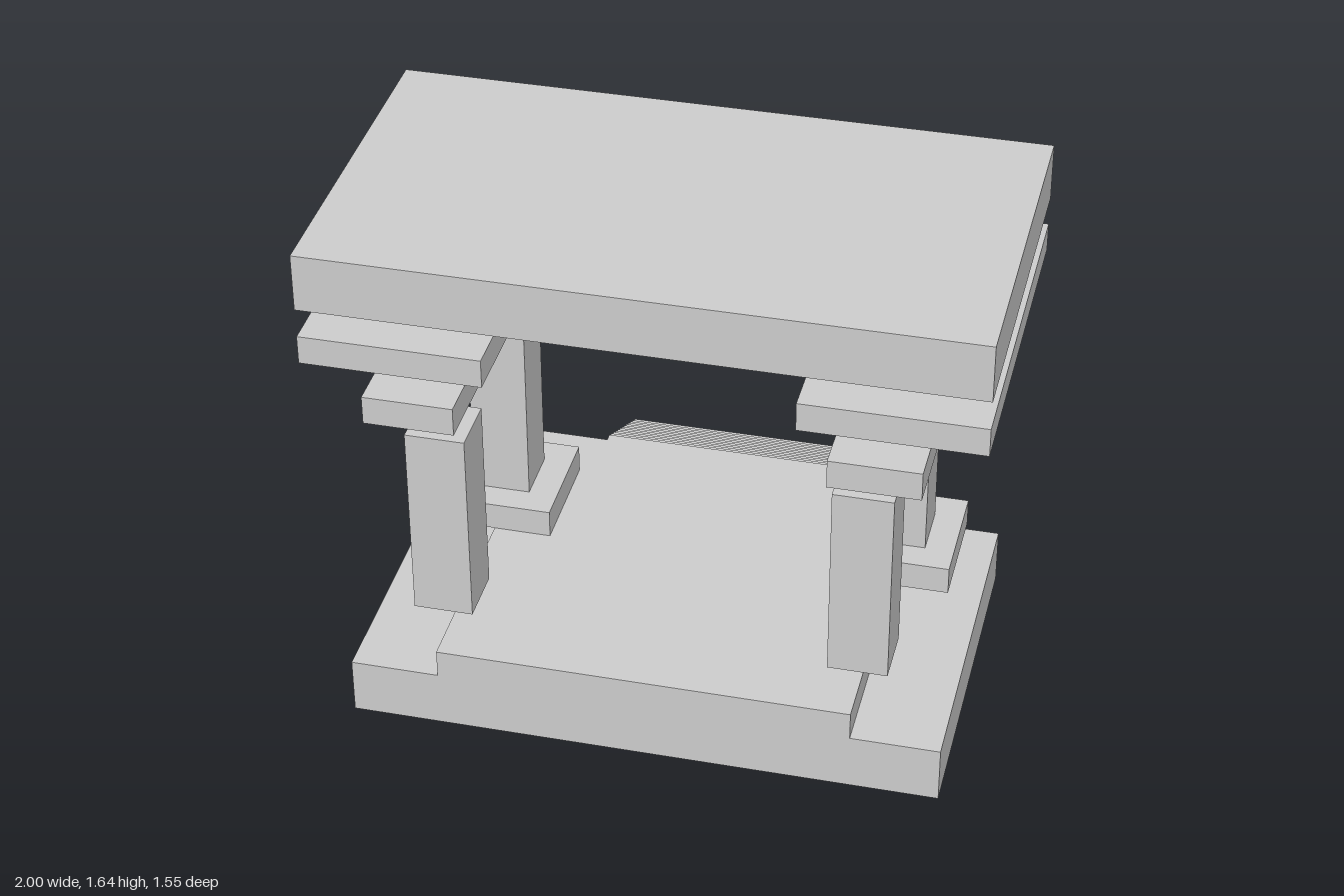
import * as THREE from 'three';

const U = 1 / 11; // module grid unit
const Z0 = -8.5 * U; // rear limit of the stair

const stone = new THREE.MeshStandardMaterial({ color: 0xcccccc, flatShading: true });
const thinStone = new THREE.MeshStandardMaterial({ color: 0xcccccc, flatShading: true, side: THREE.DoubleSide });

// Box given by its limits, in grid units
function block(name, [x0, x1], [y0, y1], [z0, z1]) {
  const mesh = new THREE.Mesh(new THREE.BoxGeometry((x1 - x0) * U, (y1 - y0) * U, (z1 - z0) * U), stone);
  mesh.position.set((x0 + x1) / 2 * U, (y0 + y1) / 2 * U, (z0 + z1) / 2 * U);
  mesh.name = name;
  return mesh;
}

// Same block on the left and the right
function pair(name, x, y, z) {
  return [block(name + 'Left', x, y, z), block(name + 'Right', [-x[1], -x[0]], y, z)];
}

// Stair shell, open underneath: folded treads and risers between two cheeks
function createStair() {
  const stair = new THREE.Group();
  stair.name = 'stair';
  const steps = 13, half = 4.5 * U, top = 3 * U, bottom = U, zIn = -4.5 * U;
  const run = (zIn - Z0) / steps, rise = (top - bottom) / steps;

  const profile = [new THREE.Vector2(zIn, top)];
  for (let i = 0; i < steps; i++) {
    const z = zIn - (i + 1) * run;
    profile.push(new THREE.Vector2(z, top - i * rise), new THREE.Vector2(z, top - (i + 1) * rise));
  }

  const positions = [];
  for (let i = 0; i < profile.length - 1; i++) {
    const a = profile[i], b = profile[i + 1];
    positions.push(
      -half, a.y, a.x, half, a.y, a.x, half, b.y, b.x,
      -half, a.y, a.x, half, b.y, b.x, -half, b.y, b.x);
  }
  const folded = new THREE.BufferGeometry();
  folded.setAttribute('position', new THREE.Float32BufferAttribute(positions, 3));
  folded.computeVertexNormals();
  const treads = new THREE.Mesh(folded, thinStone);
  treads.name = 'treadsAndRisers';
  stair.add(treads);

  const cheek = new THREE.ShapeGeometry(new THREE.Shape([...profile, new THREE.Vector2(zIn, bottom)]));
  cheek.rotateY(-Math.PI / 2); // shape x becomes z
  for (const [name, x] of [['stairCheekLeft', half], ['stairCheekRight', -half]]) {
    const side = new THREE.Mesh(cheek, thinStone);
    side.position.x = x;
    side.name = name;
    stair.add(side);
  }
  return stair;
}

export function createModel() {
  const model = new THREE.Group();
  model.name = 'pavilion';
  model.add(
    // Stepped base
    block('base', [-10, 10], [0, 2], [-3.5, 8.5]),
    block('platform', [-7, 7], [1, 3], [-4.5, 8.5]),
    createStair(),
    // Columns; only the pair by the stair stands on plinths
    ...pair('plinth', [5, 9], [3, 4], [-2.5, 1.5]),
    ...pair('stairColumn', [6, 8], [4, 11], [-1.5, 0.5]),
    ...pair('frontColumn', [6, 8], [4, 11], [5.5, 7.5]),
    // Floating layers of the roof
    ...pair('lowerBeam', [6, 9], [12, 13], [-2.5, 8.5]),
    ...pair('upperBeam', [5, 11], [14, 15], [-3.5, 8.5]),
    block('roof', [-11, 11], [16, 18], [-3.5, 8.5]));
  return model;
}
